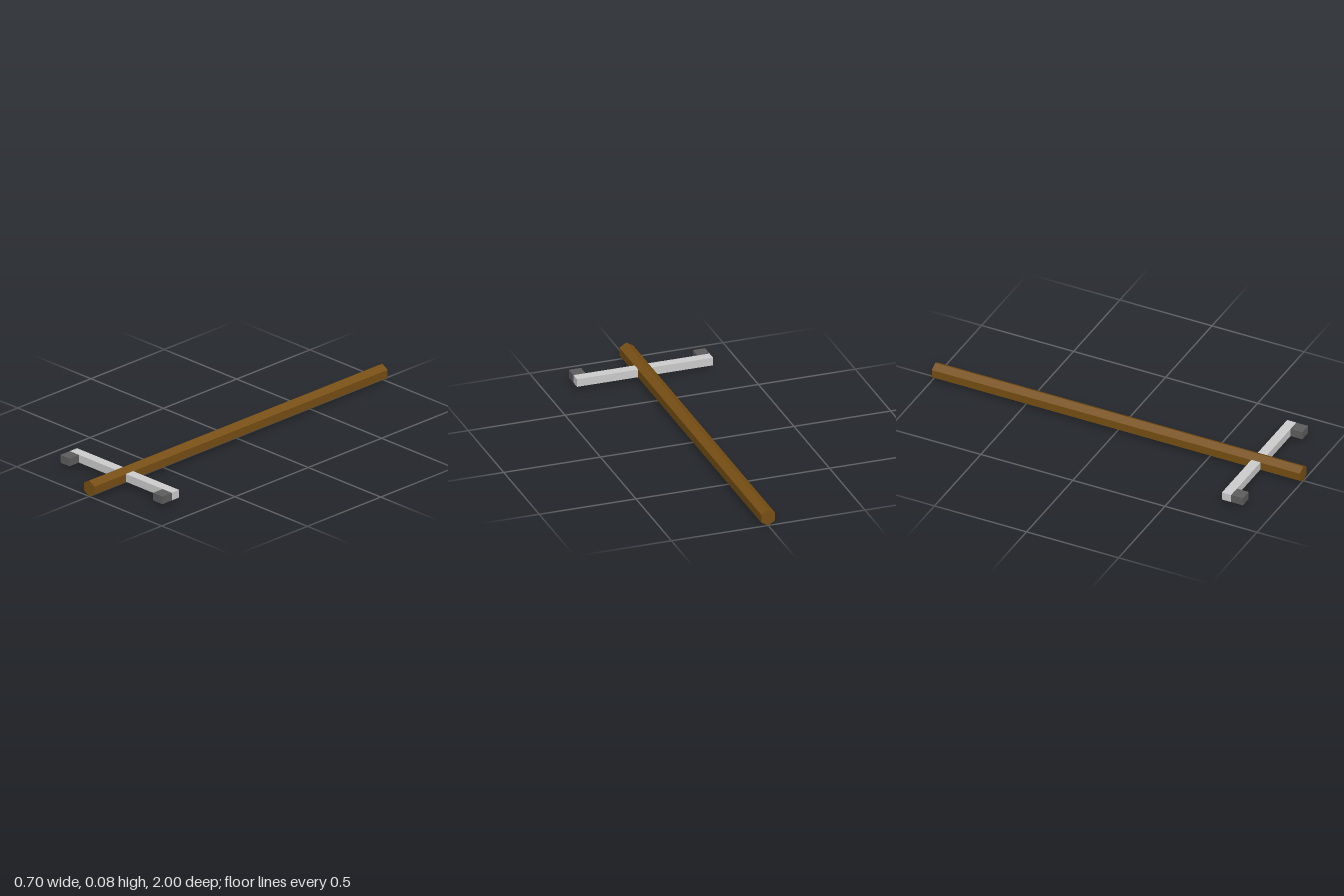
import * as THREE from 'three';

const MID_Y = 0.0415;

function part(name, geometry, color, x, y, z) {
  const material = new THREE.MeshStandardMaterial({ color, flatShading: true });
  const mesh = new THREE.Mesh(geometry, material);
  mesh.name = name;
  mesh.position.set(x, y, z);
  return mesh;
}

export function createModel() {
  const group = new THREE.Group();
  group.name = 'poleWithCrossbar';

  // Hexagonal wooden pole lying along z, one edge pointing up
  const pole = new THREE.CylinderGeometry(0.0415, 0.0415, 2, 6).rotateX(Math.PI / 2);
  group.add(part('pole', pole, 0x764e13, 0, MID_Y, 0));

  // Crossbar through the pole near its front end
  group.add(part('crossbar', new THREE.BoxGeometry(0.704, 0.041, 0.05), 0xcccccc, 0, MID_Y + 0.001, 0.76));

  // Dark end blocks facing forward
  for (const [side, name] of [[1, 'leftEndBlock'], [-1, 'rightEndBlock']]) {
    const block = new THREE.BoxGeometry(0.063, 0.041, 0.064);
    group.add(part(name, block, 0x5d5d5d, side * 0.3205, MID_Y + 0.001, 0.817));
  }

  return group;
}
